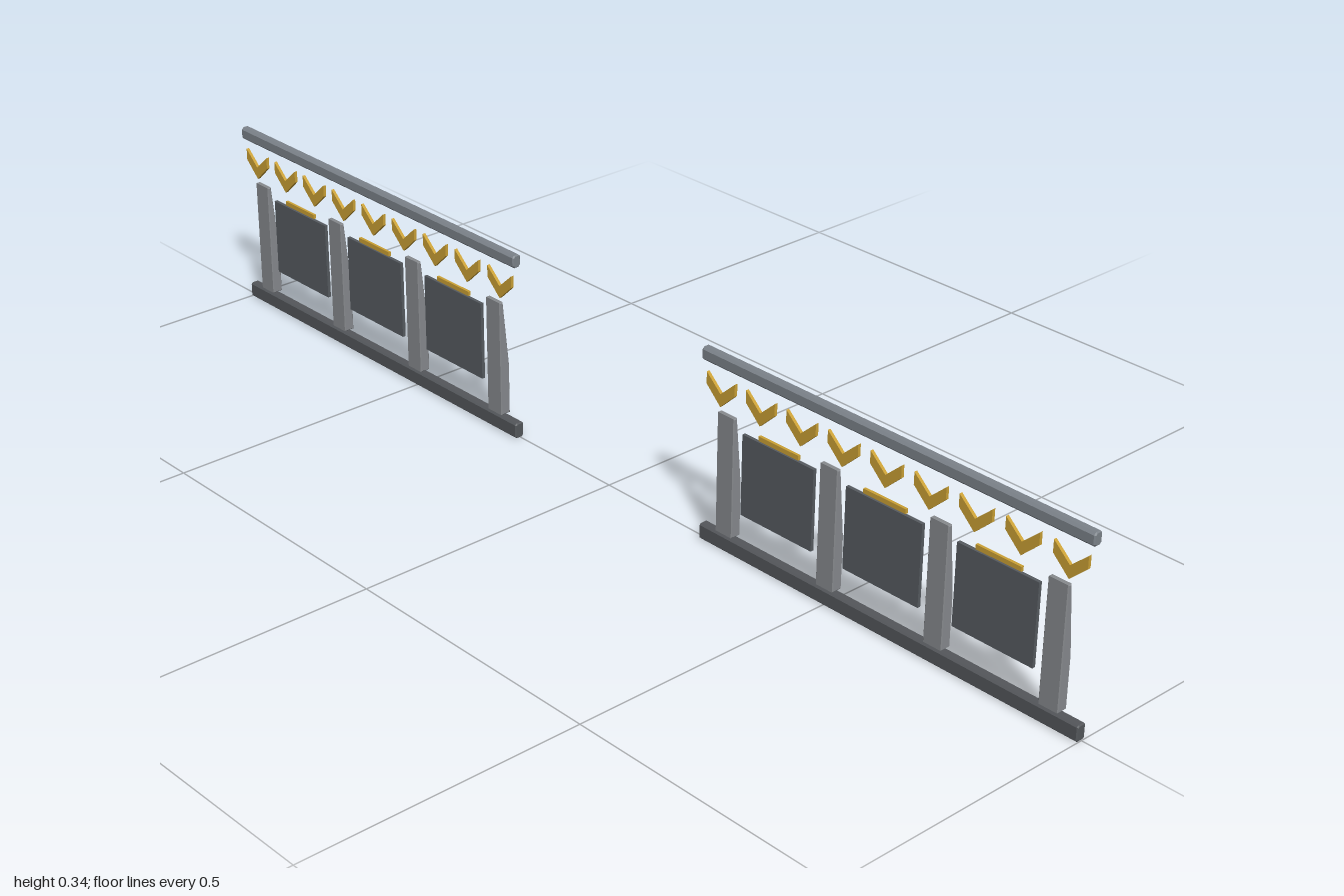
import * as THREE from 'three';

const mat = (name, color) => {
  const m = new THREE.MeshStandardMaterial({ color });
  m.name = name;
  return m;
};

// Extrude an x-y outline along z, centred on z = 0, with chamfered ends
function prism(points, length, bevel = 0) {
  const shape = new THREE.Shape(points.map(([x, y]) => new THREE.Vector2(x, y)));
  const geo = new THREE.ExtrudeGeometry(shape, {
    depth: length - 2 * bevel, bevelEnabled: bevel > 0, bevelSegments: 1,
    bevelSize: bevel, bevelThickness: bevel, bevelOffset: -bevel,
  });
  geo.translate(0, 0, bevel - length / 2);
  return geo;
}

// Rectangle with cut corners
function chamfered(x0, x1, y0, y1, c) {
  return [
    [x0 + c, y0], [x1 - c, y0], [x1, y0 + c], [x1, y1 - c],
    [x1 - c, y1], [x0 + c, y1], [x0, y1 - c], [x0, y0 + c],
  ];
}

function slab(x0, x1, y0, y1, length) {
  const geo = new THREE.BoxGeometry(x1 - x0, y1 - y0, length);
  geo.translate((x0 + x1) / 2, (y0 + y1) / 2, 0);
  return geo;
}

export function createModel() {
  const steel = mat('post grey', 0x878a8e);
  const railSteel = mat('rail grey', 0x7c838a);
  const darkSteel = mat('base dark grey', 0x54575b);
  const slate = mat('panel slate', 0x565b60);
  const gold = mat('gold', 0xcba135);
  const pale = mat('pale trim', 0xa4abb8);

  const length = 0.774;
  const baseGeo = prism(chamfered(-0.0105, 0.007, 0, 0.028, 0.003), length, 0.002);
  const railGeo = prism(chamfered(-0.0105, 0.006, 0.316, 0.339, 0.004), length, 0.002);
  const trimGeo = slab(0.005, 0.0095, 0.322, 0.331, length - 0.012);

  // Post: straight back, front face leaning back towards the top
  const postGeo = prism([
    [-0.0105, 0.031], [0.0085, 0.031], [0.0085, 0.122], [-0.003, 0.241], [-0.0105, 0.241],
  ], 0.037, 0.0015);

  const panelGeo = slab(-0.008, -0.002, 0.08, 0.221, 0.153);
  const stripGeo = slab(-0.007, -0.002, 0.223, 0.231, 0.085);

  // Chevron outline drawn in x-y, then turned to face sideways
  const chevronGeo = prism([
    [0, 0.249], [0.031, 0.278], [0.031, 0.299], [0, 0.271], [-0.031, 0.299], [-0.031, 0.278],
  ], 0.0055);
  chevronGeo.rotateY(Math.PI / 2);
  chevronGeo.translate(-0.005, 0, 0);

  function section(name) {
    const g = new THREE.Group();
    g.name = name;
    const add = (part, geo, material, z = 0) => {
      const mesh = new THREE.Mesh(geo, material);
      mesh.name = part;
      mesh.position.z = z;
      g.add(mesh);
    };
    add('baseRail', baseGeo, darkSteel);
    add('topRail', railGeo, railSteel);
    add('topRailTrim', trimGeo, pale);
    for (let i = 0; i < 4; i++) add('post', postGeo, steel, (i - 1.5) * 0.221);
    for (let i = -1; i <= 1; i++) {
      add('panel', panelGeo, slate, i * 0.22);
      add('panelStrip', stripGeo, gold, i * 0.22);
    }
    for (let i = -4; i <= 4; i++) add('chevron', chevronGeo, gold, i * 0.0867);
    return g;
  }

  // Two matching fence sections with a gap between them
  const model = new THREE.Group();
  model.name = 'railing';
  for (const side of [1, -1]) {
    const s = section(side > 0 ? 'frontSection' : 'backSection');
    s.position.z = side * (1 - length / 2);
    model.add(s);
  }
  return model;
}
